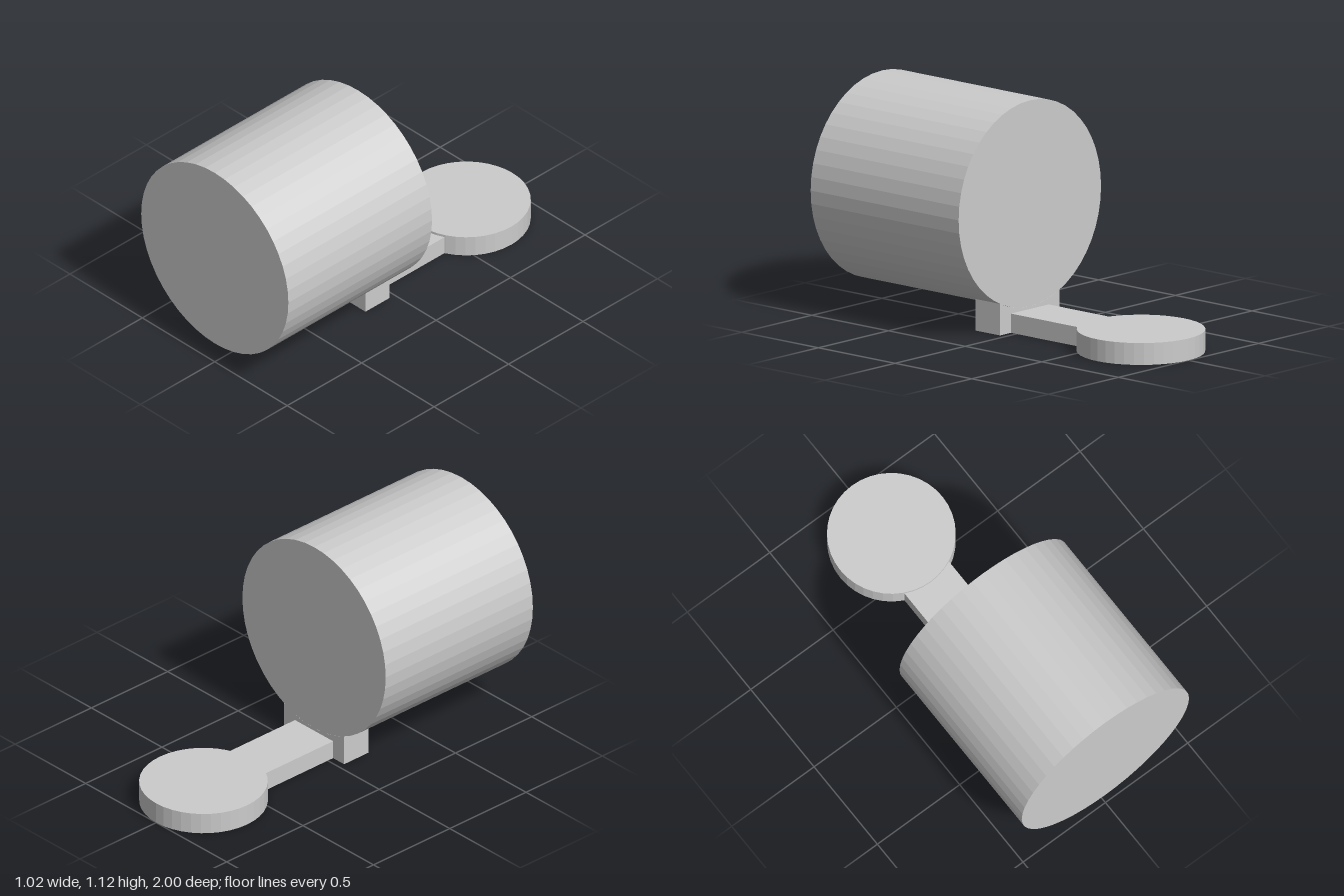
import * as THREE from 'three';

const DRUM_R = 0.508, DRUM_Y = 0.617, BACK_Z = 0.035;

export function createModel() {
  const group = new THREE.Group();
  const material = new THREE.MeshStandardMaterial({ color: 0xcccccc, flatShading: true });
  const add = (name, geometry, x, y, z) => {
    const mesh = new THREE.Mesh(geometry, material);
    mesh.name = name;
    mesh.position.set(x, y, z);
    group.add(mesh);
  };

  // Large drum lying along z
  const drumLength = 1 - BACK_Z;
  const drum = new THREE.CylinderGeometry(DRUM_R, DRUM_R, drumLength, 48).rotateX(Math.PI / 2);
  add('drum', drum, 0, DRUM_Y, BACK_Z + drumLength / 2);

  // Cradle block under the drum, its top hollowed to the drum's curve
  const half = 0.213;
  const a = Math.asin(half / DRUM_R);
  const cradle = new THREE.Shape();
  cradle.moveTo(-half, 0);
  cradle.lineTo(half, 0);
  cradle.absarc(0, DRUM_Y, DRUM_R, -Math.PI / 2 + a, -Math.PI / 2 - a, true);
  cradle.closePath();
  add('cradle', new THREE.ExtrudeGeometry(cradle, { depth: 0.16, bevelEnabled: false, curveSegments: 6 }), 0, 0, BACK_Z);

  // Flat arm running back to the foot
  const armLength = 0.5;
  add('arm', new THREE.BoxGeometry(0.27, 0.095, armLength), 0, 0.0475, BACK_Z - armLength / 2);

  // Round foot at the back
  add('foot', new THREE.CylinderGeometry(0.31, 0.31, 0.108, 40), 0, 0.054, -0.69);

  return group;
}
